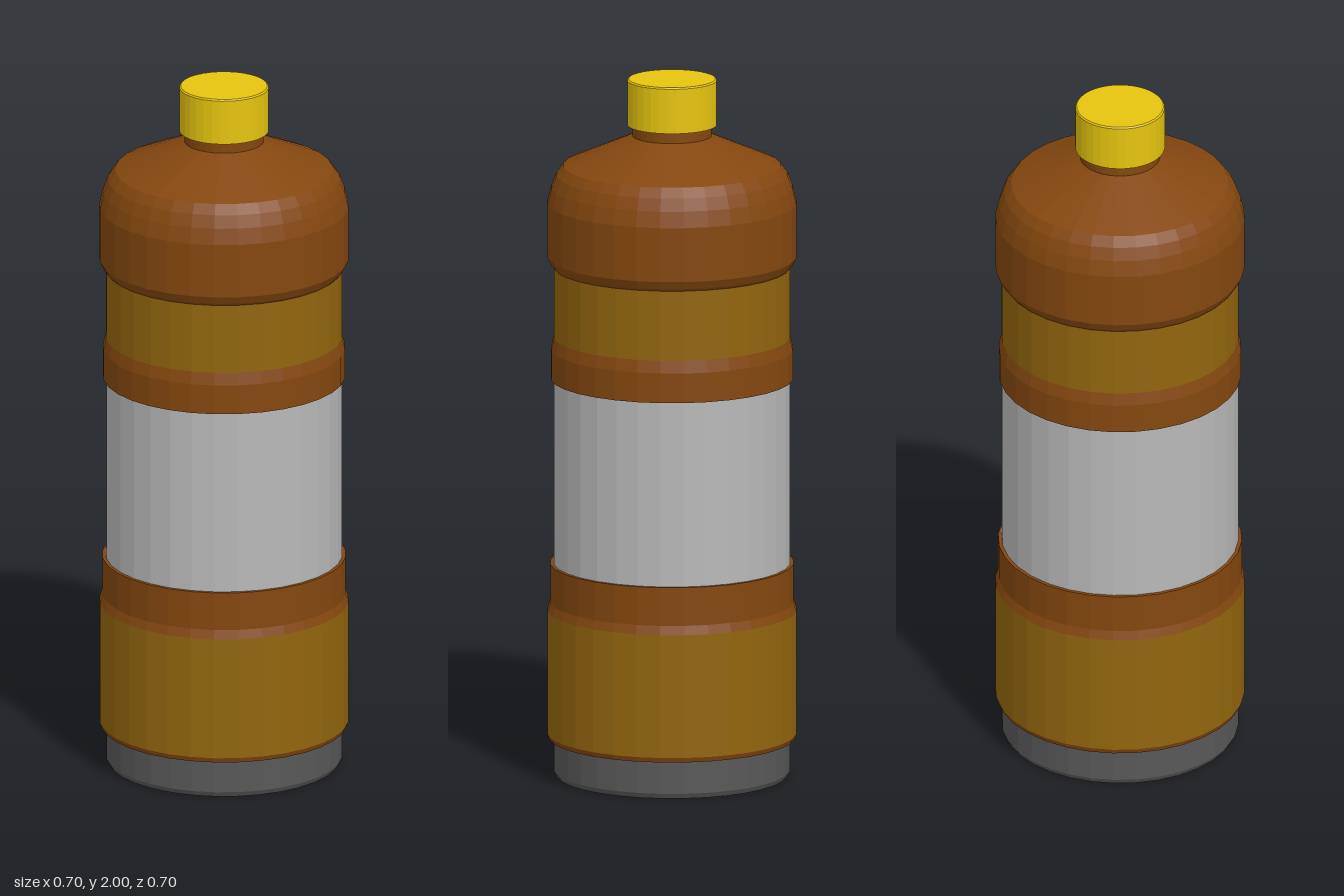
import * as THREE from 'three';

const SIDES = 32;

const mat = (name, color) => {
  const m = new THREE.MeshStandardMaterial({ color, flatShading: true });
  m.name = name;
  return m;
};

export function createModel() {
  const brown = mat('brown shell', 0x84470f);
  const ochre = mat('ochre band', 0x92650d);
  const grey = mat('light grey label', 0xb8b8b8);
  const dark = mat('dark grey base', 0x585858);
  const yellow = mat('yellow cap', 0xe6c40e);

  const bottle = new THREE.Group();
  bottle.name = 'bottle';

  // Each part is a turned ring; profile points are [radius, height], bottom to top
  const turn = (name, material, profile) => {
    const points = profile.map(([r, y]) => new THREE.Vector2(r, y));
    const mesh = new THREE.Mesh(new THREE.LatheGeometry(points, SIDES), material);
    mesh.name = name;
    bottle.add(mesh);
  };

  turn('base', dark, [[0, 0], [0.325, 0], [0.333, 0.015], [0.333, 0.11]]);
  turn('lowerRim', brown, [[0.333, 0.108], [0.346, 0.108], [0.351, 0.122]]);
  turn('lowerBand', ochre, [[0.351, 0.122], [0.351, 0.475]]);
  turn('lowerCollar', brown, [[0.351, 0.475], [0.343, 0.5], [0.343, 0.61], [0.333, 0.61]]);
  turn('label', grey, [[0.333, 0.61], [0.333, 1.14]]);
  turn('upperCollar', brown, [[0.333, 1.14], [0.341, 1.14], [0.341, 1.225], [0.333, 1.26]]);
  turn('upperBand', ochre, [[0.333, 1.26], [0.333, 1.46]]);

  // Shoulder and neck
  turn('shoulder', brown, [
    [0.333, 1.46], [0.339, 1.467], [0.351, 1.49], [0.351, 1.645],
    [0.34, 1.69], [0.326, 1.725], [0.306, 1.752], [0.112, 1.837],
  ]);
  turn('neck', brown, [[0.112, 1.837], [0.112, 1.87]]);

  // Closed cap with a slight bevel on top
  turn('cap', yellow, [
    [0, 1.868], [0.126, 1.868], [0.126, 1.996], [0.122, 2], [0, 2],
  ]);

  return bottle;
}
